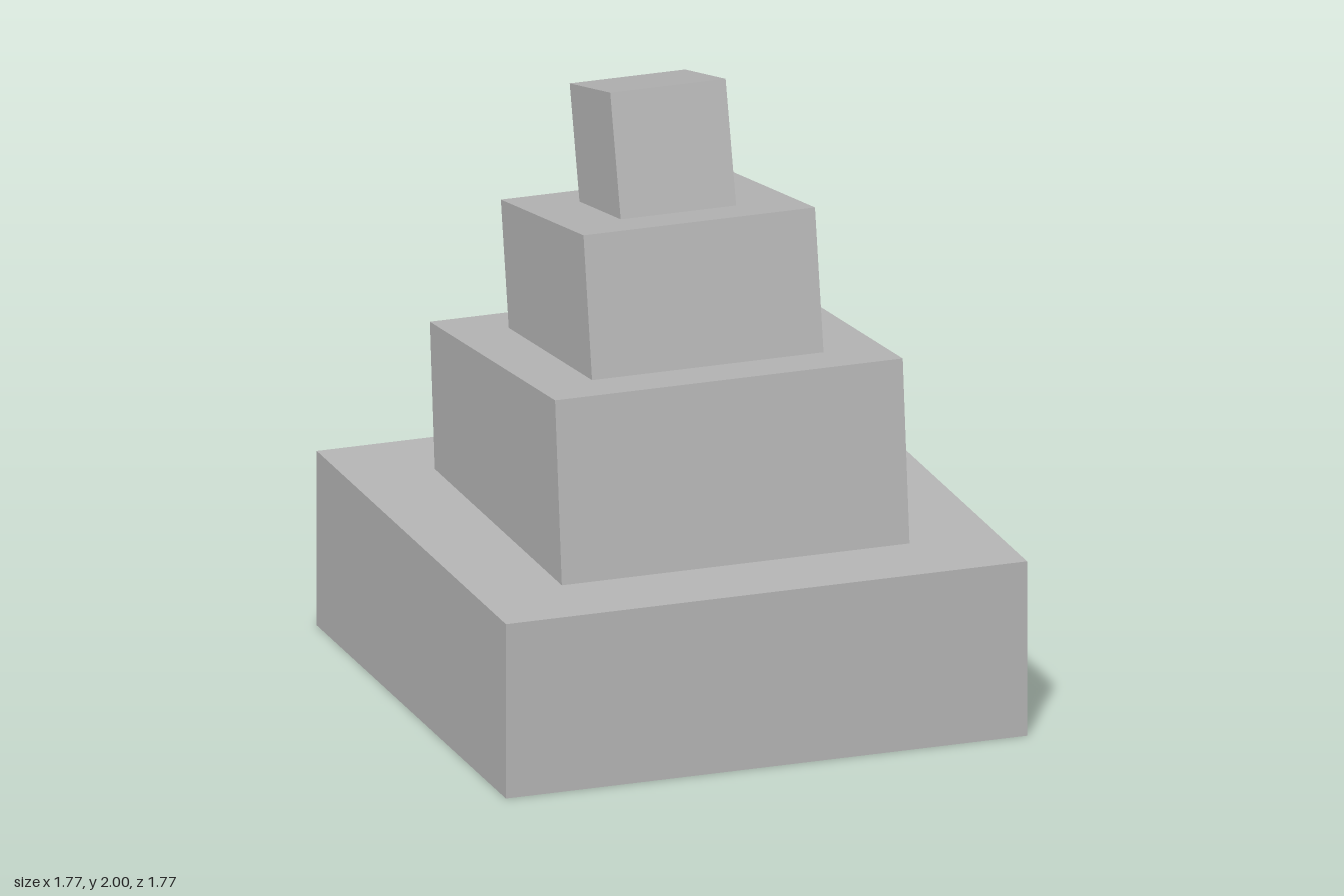
import * as THREE from 'three';

// A cross-section: half width in x, then [z, y] of its front and back edges.
const ring = (w, [fz, fy], [bz, by]) => [
  [w, fy, fz], [w, by, bz], [-w, by, bz], [-w, fy, fz],
];
const level = (w, y) => ring(w, [w, y], [-w, y]);

// Skins consecutive cross-sections with flat quads, with optional end caps.
function loft(rings, { capStart = false, capEnd = false } = {}) {
  const pos = [];
  const quad = (a, b, c, d) => pos.push(...a, ...b, ...c, ...a, ...c, ...d);
  if (capStart) quad(...rings[0]);
  for (let i = 0; i + 1 < rings.length; i++) {
    const a = rings[i], b = rings[i + 1];
    for (let k = 0; k < 4; k++) {
      const n = (k + 1) % 4;
      quad(a[k], b[k], b[n], a[n]);
    }
  }
  if (capEnd) quad(...[...rings[rings.length - 1]].reverse());
  const geometry = new THREE.BufferGeometry();
  geometry.setAttribute('position', new THREE.Float32BufferAttribute(pos, 3));
  geometry.computeVertexNormals();
  return geometry;
}

export function createModel() {
  const group = new THREE.Group();
  const stone = new THREE.MeshStandardMaterial({ color: 0xb4b4b4 });
  stone.name = 'grey stone';
  const add = (name, geometry) => {
    const mesh = new THREE.Mesh(geometry, stone);
    mesh.name = name;
    group.add(mesh);
  };

  const secondFoot = ring(0.59, [0.595, 0.59], [-0.595, 0.59]);
  const opening = level(0.395, 0.393);

  // Upright hollow base: top, outer walls, rim, inner walls and ceiling
  add('base', loft([
    secondFoot, level(0.885, 0.59), level(0.885, 0),
    level(0.787, 0), level(0.787, 0.393), opening,
  ]));

  // Leaning tiers, each tilted further back than the one below
  add('secondTier', loft([
    ring(0.59, [0.532, 1.195], [-0.64, 1.073]), secondFoot,
  ], { capStart: true }));
  add('thirdTier', loft([
    ring(0.393, [0.255, 1.638], [-0.518, 1.503]),
    ring(0.393, [0.335, 1.174], [-0.444, 1.093]),
  ], { capStart: true }));
  add('topTier', loft([
    ring(0.196, [-0.038, 2], [-0.417, 1.906]),
    ring(0.196, [0.06, 1.604], [-0.325, 1.536]),
  ], { capStart: true }));

  // Shaft rising from the base ceiling into the second tier, leaning forward
  add('shaft', loft([
    opening, ring(0.395, [0.45, 0.93], [-0.33, 1.01]),
  ], { capEnd: true }));

  return group;
}
